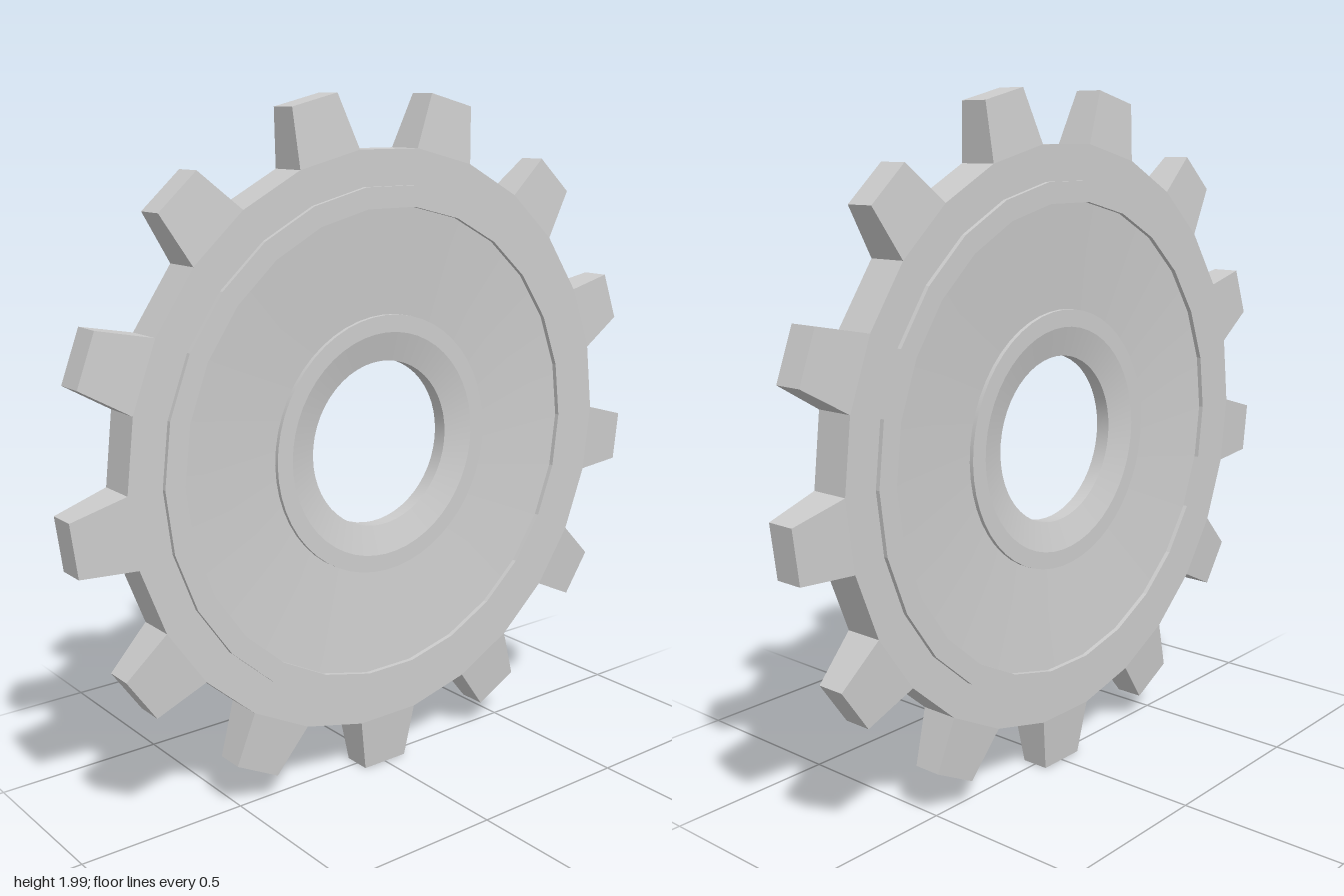
import * as THREE from 'three';
import { toCreasedNormals } from 'three/addons/utils/BufferGeometryUtils.js';

const TEETH = 13;
const SIDES = TEETH * 2;
const RIM = 0.846;                                // corner radius of the rim
const FLAT = RIM * Math.cos(Math.PI / SIDES);     // distance to the middle of a rim facet
const ROOT = RIM * Math.sin(Math.PI / SIDES);     // half the length of a rim facet

// Ring turned about z from a half profile of [radius, z], mirrored front to back
function ring(half, sides) {
  const back = half.map(([r, z]) => [r, -z]);
  const loop = [...back, ...[...half].reverse(), back[0]];
  const geo = new THREE.LatheGeometry(
    loop.map(([r, z]) => new THREE.Vector2(r, z)), sides, Math.PI / SIDES);
  geo.rotateX(Math.PI / 2);
  return toCreasedNormals(geo, 0.2);
}

// Tooth pointing down, tapering in width and thickness towards its tip
function toothGeometry() {
  const geo = new THREE.BoxGeometry(2, 1, 2);
  const p = geo.attributes.position;
  for (let i = 0; i < p.count; i++) {
    const tip = p.getY(i) < 0;
    p.setXYZ(i,
      p.getX(i) * (tip ? 0.076 : ROOT),
      tip ? -1 : -FLAT,
      p.getZ(i) * (tip ? 0.042 : 0.057));
  }
  const flat = geo.toNonIndexed();
  flat.computeVertexNormals();
  return flat;
}

export function createModel() {
  const gear = new THREE.Group();
  gear.name = 'gear';
  const material = new THREE.MeshStandardMaterial({ color: 0xcccccc });
  const add = (name, geo) => {
    const mesh = new THREE.Mesh(geo, material);
    mesh.name = name;
    mesh.position.y = 1;
    gear.add(mesh);
    return mesh;
  };

  // Rim, raised band and dished web
  add('disc', ring([
    [0.36, 0.031], [0.685, 0.056], [0.685, 0.07],
    [0.745, 0.07], [0.745, 0.057], [RIM, 0.057],
  ], SIDES));

  // Raised hub collar sloping down to the bore
  add('hub', ring([
    [0.245, 0.022], [0.33, 0.045], [0.38, 0.045],
  ], SIDES * 2));

  // Teeth, one on every second rim facet
  const tooth = toothGeometry();
  for (let i = 0; i < TEETH; i++) {
    add('tooth' + (i + 1), tooth).rotation.z = (i / TEETH) * Math.PI * 2;
  }
  return gear;
}
